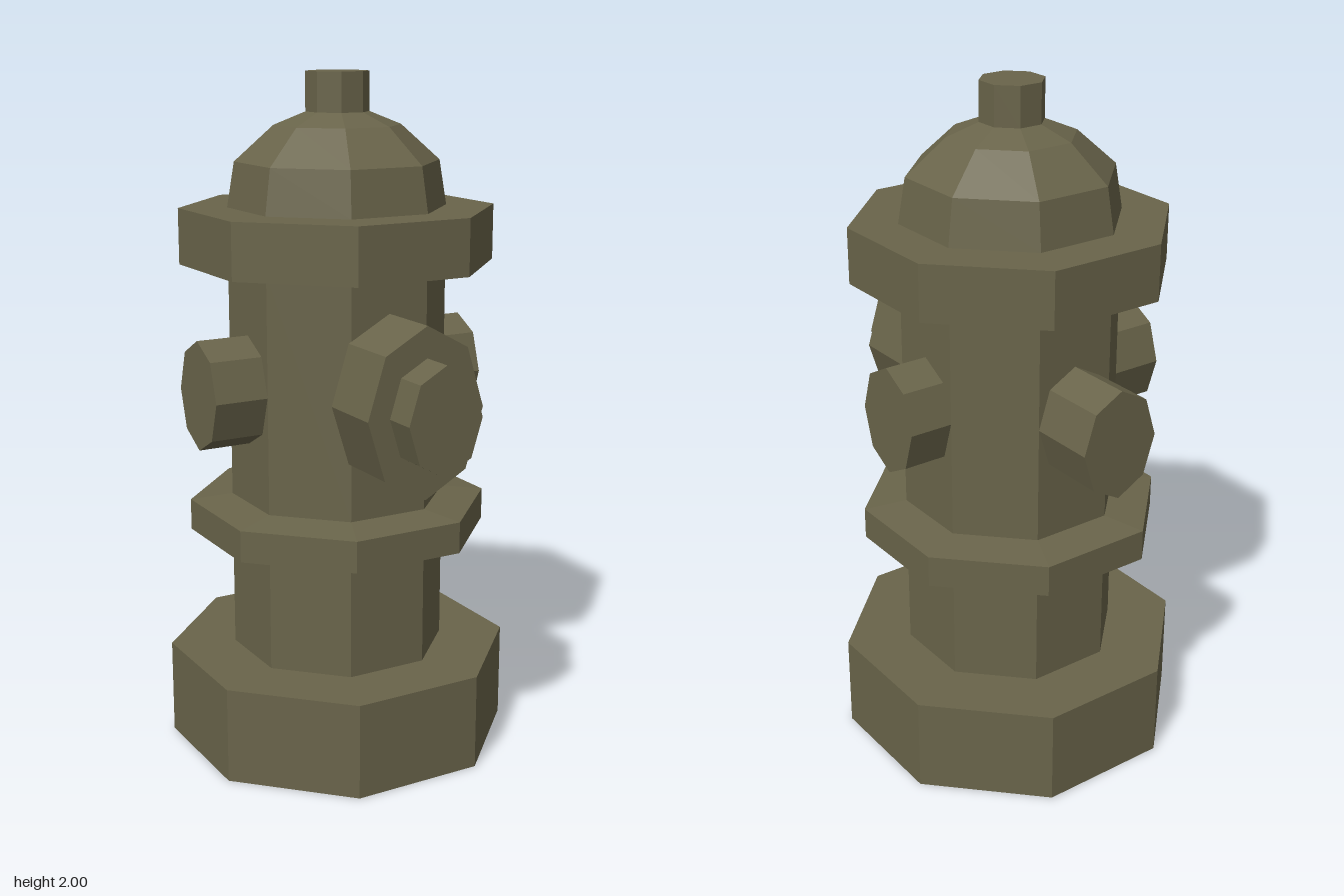
import * as THREE from 'three';

const AXIS_Z = -0.046; // the barrel stands slightly behind the centre
const OUTLET_Y = 1.105;

export function createModel() {
  const model = new THREE.Group();
  model.name = 'hydrant';

  const olive = new THREE.MeshStandardMaterial({ color: 0x69644a, flatShading: true, side: THREE.DoubleSide });
  olive.name = 'olive paint';

  // Octagonal shell, open underneath; radii are measured to the flat sides
  const profile = [
    [0.475, 0], [0.475, 0.285], [0.295, 0.285],    // foot
    [0.295, 0.637], [0.411, 0.652],                // lower barrel
    [0.411, 0.745], [0.295, 0.76],                 // collar
    [0.295, 1.456], [0.425, 1.456],                // upper barrel
    [0.425, 1.618], [0.295, 1.618],                // flange
    [0.275, 1.748], [0.17, 1.85], [0.085, 1.887],  // dome
    [0.085, 2], [0, 2],                            // top nut
  ].map(([r, y]) => new THREE.Vector2(r / Math.cos(Math.PI / 8), y));

  // Separate lathe sections share their end rings
  const sections = { foot: [0, 2], barrel: [2, 7], flange: [7, 10], dome: [10, 13], topNut: [13, 15] };
  for (const [name, [from, to]] of Object.entries(sections)) {
    const geometry = new THREE.LatheGeometry(profile.slice(from, to + 1), 8, Math.PI / 8);
    const mesh = new THREE.Mesh(geometry, olive);
    mesh.name = name;
    mesh.position.z = AXIS_Z;
    model.add(mesh);
  }

  // Oval eight-sided outlet, pointing away from the barrel axis at the given angle
  function addOutlet(name, angle, halfWidth, halfHeight, start, end) {
    const geometry = new THREE.CylinderGeometry(1, 1, end - start, 8);
    geometry.rotateX(Math.PI / 2);
    geometry.scale(halfWidth, halfHeight, 1);
    geometry.translate(0, 0, (start + end) / 2);
    const mesh = new THREE.Mesh(geometry, olive);
    mesh.name = name;
    mesh.position.set(0, OUTLET_Y, AXIS_Z);
    mesh.rotation.y = angle;
    model.add(mesh);
  }

  addOutlet('frontOutlet', 0, 0.184, 0.244, 0.294, 0.492);
  addOutlet('frontOutletCap', 0, 0.116, 0.155, 0.49, 0.59);
  addOutlet('leftOutlet', Math.PI / 2, 0.122, 0.16, 0.28, 0.424);
  addOutlet('rightOutlet', -Math.PI / 2, 0.122, 0.16, 0.28, 0.454);
  addOutlet('backOutlet', Math.PI, 0.122, 0.16, 0.28, 0.494);

  return model;
}
